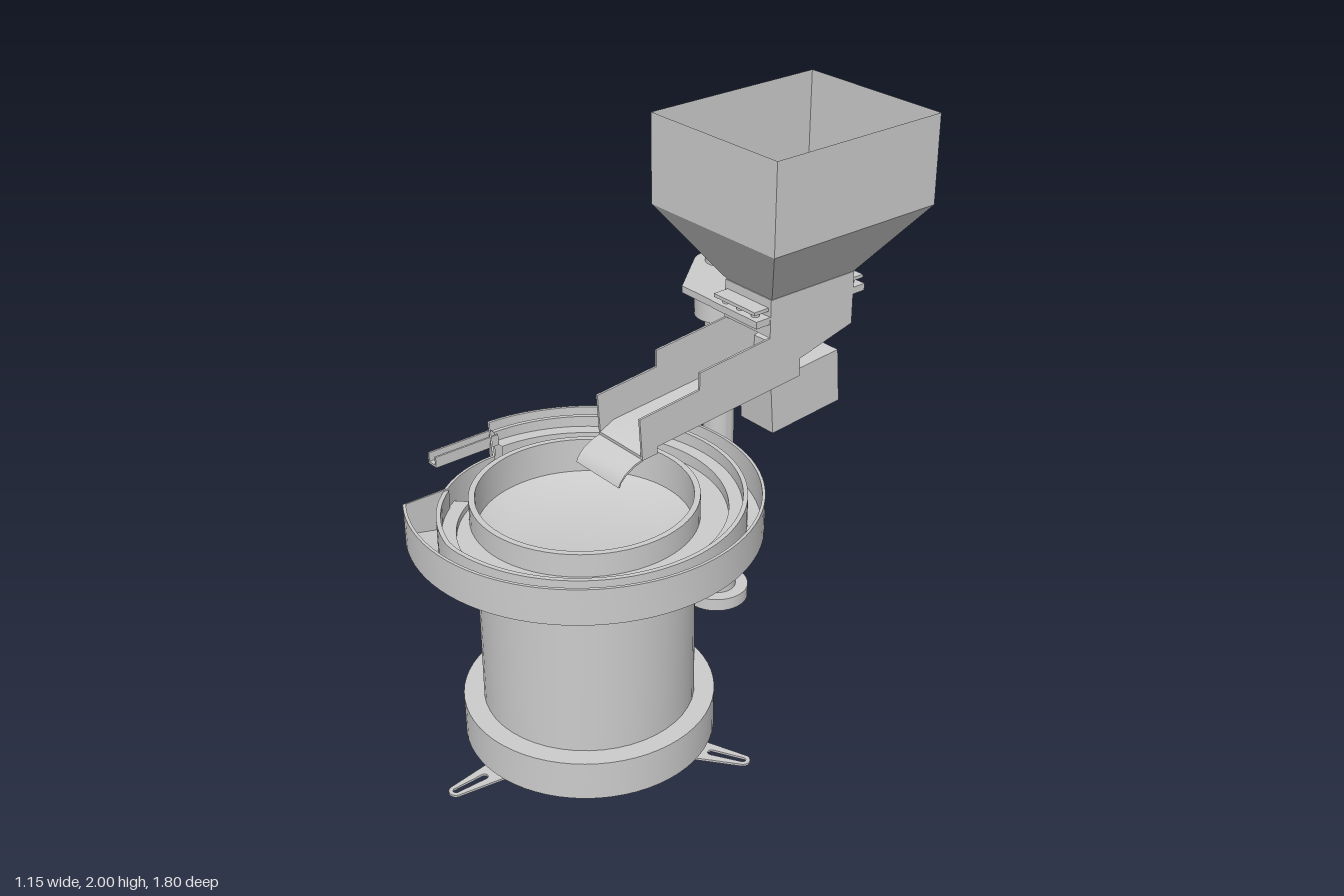
import * as THREE from 'three';
import { toCreasedNormals } from 'three/addons/utils/BufferGeometryUtils.js';

const mat = new THREE.MeshStandardMaterial({ color: 0xcccccc, side: THREE.DoubleSide });

function add(parent, name, geo, x = 0, y = 0, z = 0) {
  const m = new THREE.Mesh(toCreasedNormals(geo, 0.5), mat);
  m.name = name;
  m.position.set(x, y, z);
  parent.add(m);
  return m;
}

const box = (w, h, d) => new THREE.BoxGeometry(w, h, d);
const cyl = (r, y0, y1, n = 40) =>
  new THREE.CylinderGeometry(r, r, y1 - y0, n).translate(0, (y0 + y1) / 2, 0);
const lathe = (pts) => new THREE.LatheGeometry(pts.map(p => new THREE.Vector2(...p)), 64);

// Skin a list of closed cross-sections, each a list of [x, y, z]
function loft(rings) {
  const n = rings[0].length, index = [];
  for (let i = 0; i < rings.length - 1; i++) {
    for (let j = 0; j < n; j++) {
      const a = i * n + j, b = i * n + (j + 1) % n;
      index.push(a, b, a + n, b, b + n, a + n);
    }
  }
  const g = new THREE.BufferGeometry();
  g.setAttribute('position', new THREE.Float32BufferAttribute(rings.flat(2), 3));
  g.setIndex(index);
  g.computeVertexNormals();
  return g;
}

// Side profile given as [z, y], extruded across x and centred on x = 0
function sideExtrude(pts, width) {
  const s = new THREE.Shape(pts.map(p => new THREE.Vector2(...p)));
  return new THREE.ExtrudeGeometry(s, { depth: width, bevelEnabled: false })
    .rotateY(-Math.PI / 2).translate(width / 2, 0, 0);
}

// Plan shape drawn as [x, -z], extruded upwards from y0 to y1
const planExtrude = (shape, y0, y1) =>
  new THREE.ExtrudeGeometry(shape, { depth: y1 - y0, bevelEnabled: false, curveSegments: 16 })
    .rotateX(-Math.PI / 2).translate(0, y0, 0);

const polar = (r, deg) => [r * Math.sin(deg * Math.PI / 180), r * Math.cos(deg * Math.PI / 180)];
const spiralR = (deg) => deg < 0 ? 0.52 + 0.00183 * deg : 0.52;

function bowlFeeder() {
  const g = new THREE.Group();
  g.name = 'bowlFeeder';
  add(g, 'base', cyl(0.4225, 0.035, 0.175, 64));
  add(g, 'drum', cyl(0.355, 0.175, 0.765, 48));

  // Bowl outline: outer arc, then a notch following the spiral
  const outline = [];
  for (let i = 0; i <= 72; i++) outline.push(polar(0.575, -30.2 + 298 * i / 72));
  for (let i = 0; i <= 6; i++) outline.push(polar(spiralR(-75 + i * 35 / 6), -75 + i * 35 / 6));
  const cone = (r) => 0.755 + (r - 0.355) * 0.27;
  const ring = (section) => outline.map(([x, z]) => {
    const R = Math.hypot(x, z), [r, y] = section(R);
    return [x * r / R, y, z * r / R];
  });
  add(g, 'bowlShell', loft([
    ring(() => [0.35, 0.755]),
    ring(R => [R, cone(R)]),
    ring(R => [R, 0.94]),
    ring(R => [R - 0.01, 0.94]),
    ring(R => [R - 0.01, cone(R) + 0.015]),
    ring(() => [0.34, 0.77]),
  ]));

  // Inner bowl
  add(g, 'innerWall', lathe([[0.35, 0.77], [0.35, 0.93], [0.37, 0.93], [0.37, 0.77]]));
  add(g, 'bowlFloor', lathe([[0, 0.8], [0.26, 0.775], [0.352, 0.81]]));

  // Spiral track and its retaining wall
  const sweep = (from, section) => {
    const rings = [];
    for (let i = 0; i <= 80; i++) {
      const a = from + (270 - from) * i / 80;
      rings.push(section(a, i / 80).map(([r, y]) => {
        const [x, z] = polar(r, a);
        return [x, y, z];
      }));
    }
    return loft(rings);
  };
  add(g, 'spiralTrack', sweep(-46, (a, t) => {
    const ri = a < 0 ? 0.46 + 0.0019 * a : 0.46, R = spiralR(a) - 0.005, y = 0.87 + 0.03 * t;
    return [[0.36, 0.85], [ri, 0.85], [ri, y], [R, y], [R, 0.8], [0.36, 0.8]];
  }));
  add(g, 'spiralWall', sweep(-40, (a) => {
    const R = spiralR(a);
    return [[R - 0.015, 0.8], [R - 0.015, 0.935], [R, 0.935], [R, 0.8]];
  }));

  // Straight outlet channel
  add(g, 'outletFloor', box(0.046, 0.008, 0.25), -0.506, 0.9, 0.123);
  for (const x of [-0.526, -0.486]) add(g, 'outletWall', box(0.007, 0.04, 0.25), x, 0.916, 0.123);

  // Slotted feet
  const foot = new THREE.Shape();
  foot.absarc(0, -0.378, 0.053, 0.2, Math.PI - 0.2, false);
  foot.absarc(0, -0.55, 0.025, Math.PI + 0.2, -0.2, false);
  const slot = new THREE.Path();
  slot.absarc(0, -0.44, 0.013, 0, Math.PI, false);
  slot.absarc(0, -0.55, 0.011, Math.PI, Math.PI * 2, false);
  foot.holes.push(slot);
  for (let i = 0; i < 3; i++) {
    const f = new THREE.Group();
    f.name = 'foot';
    add(f, 'footPlate', planExtrude(foot, 0, 0.008));
    add(f, 'footStud', cyl(0.016, 0.005, 0.04, 16), 0, 0, 0.378);
    f.rotation.y = i * Math.PI * 2 / 3;
    g.add(f);
  }
  g.position.z = 0.3225;
  return g;
}

function hopperAndTrough() {
  const g = new THREE.Group();
  g.name = 'hopperAndTrough';
  const rect = (hx, z0, z1, y) => [[-hx, y, z0], [hx, y, z0], [hx, y, z1], [-hx, y, z1]];
  add(g, 'hopper', loft([
    rect(0.295, -0.9, -0.195, 2), rect(0.295, -0.9, -0.195, 1.69), rect(0.11, -0.735, -0.365, 1.44),
  ]));

  // Stepped side walls, floor and the two neck walls
  const side = [[-0.36, 1.44], [-0.36, 1.305], [-0.06, 1.275], [-0.06, 1.215], [0.185, 1.19],
    [0.175, 1.04], [0.115, 1.045], [0.115, 1.07], [-0.5, 1.125], [-0.5, 1.19], [-0.735, 1.25], [-0.735, 1.44]];
  for (const s of [-1, 1]) add(g, 'troughSide', sideExtrude(side, 0.008), s * 0.108);
  add(g, 'troughFloor', sideExtrude([[0.177, 1.055], [0.175, 1.04], [0.115, 1.045], [0.115, 1.07],
    [-0.5, 1.125], [-0.5, 1.19], [-0.735, 1.25], [-0.735, 1.262], [-0.49, 1.2], [-0.49, 1.137], [0.12, 1.082]], 0.21));
  add(g, 'neckFront', box(0.21, 0.135, 0.008), 0, 1.3725, -0.365);
  add(g, 'neckBack', box(0.21, 0.19, 0.008), 0, 1.345, -0.731);

  // Curved discharge lip
  add(g, 'dischargeLip', sideExtrude([[0.17, 1.045], [0.21, 1.034], [0.245, 1.013], [0.265, 0.99], [0.271, 0.975],
    [0.265, 0.975], [0.26, 0.988], [0.241, 1.007], [0.207, 1.027], [0.17, 1.038]], 0.22));

  // Vibrator under the trough
  add(g, 'vibrator', box(0.16, 0.2, 0.31), 0, 1.034, -0.5625).rotation.x = 0.083;

  // Bolted flanges in front of and behind the neck
  for (const z of [-0.33, -0.76]) {
    add(g, 'upperFlange', box(0.2, 0.012, 0.06), 0, 1.404, z);
    add(g, 'lowerFlange', box(0.22, 0.025, 0.06), 0, 1.3675, z);
    for (const x of [-0.07, 0, 0.07]) add(g, 'flangeBolt', cyl(0.014, 1.36, 1.41, 12), x, 0, z);
  }
  return g;
}

function stand() {
  const g = new THREE.Group();
  g.name = 'stand';
  add(g, 'standFoot', cyl(0.122, 0, 0.05));
  add(g, 'standCollar', cyl(0.075, 0.05, 0.16));
  add(g, 'post', cyl(0.056, 0.16, 1.57));
  add(g, 'clamp', cyl(0.093, 1.18, 1.355));
  // Bracket plate tapering from the neck to the post
  const p = new THREE.Shape();
  p.moveTo(0.24, 0.245);
  p.lineTo(0.08, 0.245);
  p.absarc(0, 0, 0.095, 2.4, Math.PI * 2 - 2.4, false);
  p.lineTo(0.08, -0.245);
  p.lineTo(0.24, -0.245);
  add(g, 'bracketPlate', planExtrude(p, 1.355, 1.38));
  g.position.set(-0.345, 0, -0.547);
  return g;
}

export function createModel() {
  const model = new THREE.Group();
  model.name = 'vibratoryFeeder';
  model.add(bowlFeeder(), hopperAndTrough(), stand());
  return model;
}
